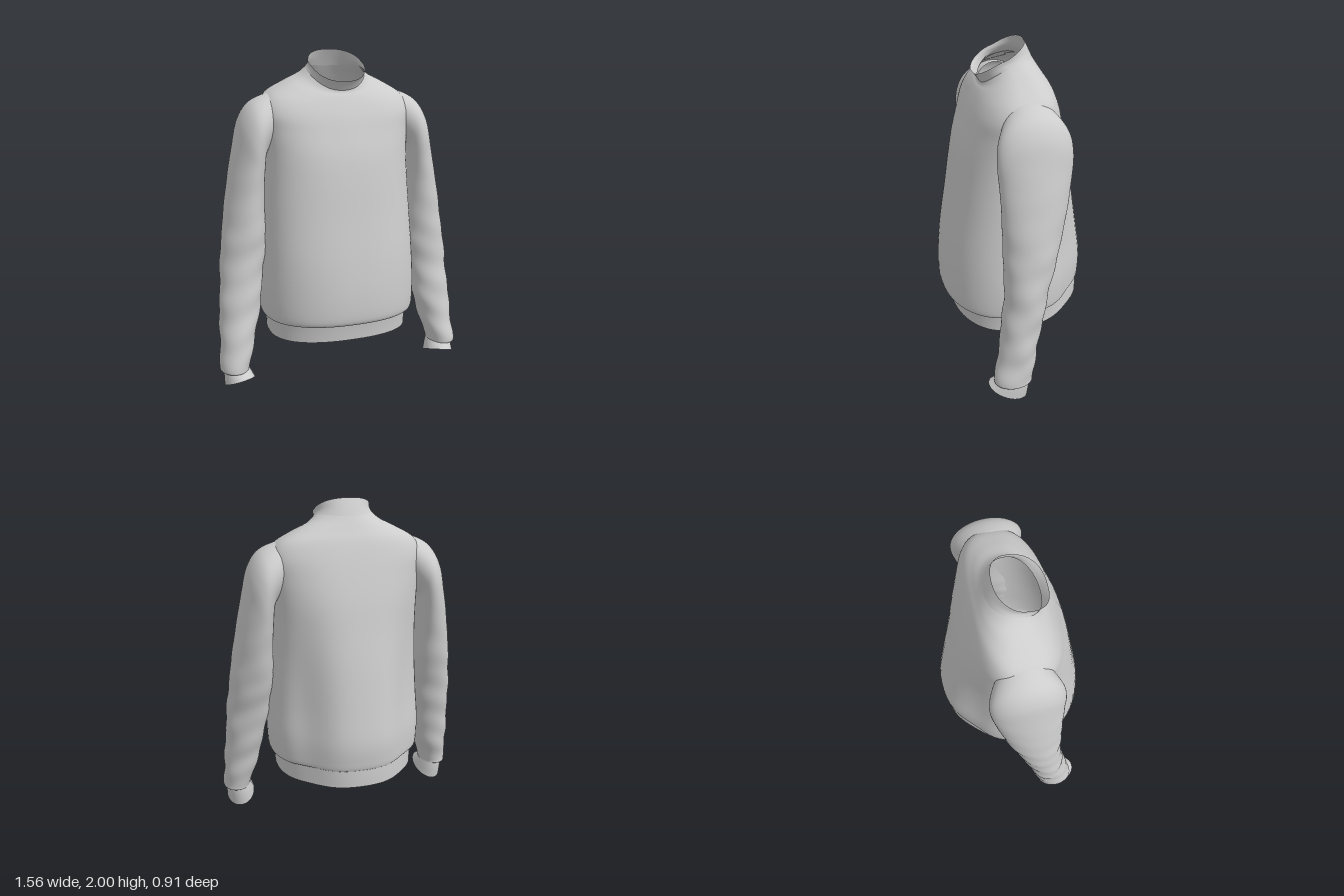
import * as THREE from 'three';

const SEG = 72;
const cloth = new THREE.MeshStandardMaterial({ color: 0xcccccc, side: THREE.DoubleSide });
cloth.name = 'light grey cloth';

// Smoothly interpolates rows of numbers, giving `steps` rows per span
function smoothRows(rows, steps) {
  const out = [];
  const row = i => rows[Math.max(0, Math.min(rows.length - 1, i))];
  for (let i = 0; i < rows.length - 1; i++) {
    for (let k = 0; k < steps; k++) {
      const t = k / steps;
      out.push(row(i).map((b, n) => {
        const a = row(i - 1)[n], c = row(i + 1)[n], d = row(i + 2)[n];
        return b + 0.5 * t * (c - a + t * (2 * a - 5 * b + 4 * c - d + t * (3 * (b - c) + d - a)));
      }));
    }
  }
  out.push(rows[rows.length - 1]);
  return out;
}

// Skins closed rings; pointAt(row, angle) gives [x, y, z]
function loft(name, rows, pointAt, flip) {
  const pos = [], index = [];
  rows.forEach((r, j) => {
    for (let i = 0; i < SEG; i++) {
      pos.push(...pointAt(r, (i / SEG) * Math.PI * 2));
      if (j === rows.length - 1) continue;
      const a = j * SEG + i, b = j * SEG + (i + 1) % SEG, c = a + SEG, d = b + SEG;
      if (flip) index.push(a, b, c, b, d, c);
      else index.push(a, c, b, b, c, d);
    }
  });
  const g = new THREE.BufferGeometry();
  g.setAttribute('position', new THREE.Float32BufferAttribute(pos, 3));
  g.setIndex(index);
  g.computeVertexNormals();
  const mesh = new THREE.Mesh(g, cloth);
  mesh.name = name;
  return mesh;
}

const power = (v, e) => Math.sign(v) * Math.abs(v) ** e;
const bump = (v, centre, width) => Math.exp(-(((v - centre) / width) ** 2));

// Torso row: y front, y side, y back, half width, z front, z back, z middle, front and back roundness
function torsoPoint([yf, ys, yb, w, zf, zb, zm, pf, pb], angle) {
  const c = Math.cos(angle), s = Math.sin(angle);
  const e = 2 / (s > 0 ? pf : pb);
  const x = w * power(c, e);
  let z = zm + (s > 0 ? zf - zm : zm - zb) * power(s, e);
  const mid = (yf + yb) / 2;
  const y = mid + (yf - yb) / 2 * s + (ys - mid) * c * c;
  // The back is drawn in beside a broad hanging fold; soft crease below the collar in front
  if (s < 0) z += -s * 0.075 * bump(y, 0.72, 0.5) * bump(Math.abs(x), 0.33, 0.11);
  else z += 0.006 * bump(y, 1.55, 0.14) * bump(x, 0, 0.04);
  return [x, y, z];
}

const hem = [
  [0.30, 0.290, 0.32, 0.440, 0.390, -0.440, 0.06, 2.3, 2.1],
  [0.36, 0.360, 0.38, 0.443, 0.396, -0.440, 0.06, 2.3, 2.1],
  [0.42, 0.420, 0.44, 0.448, 0.405, -0.438, 0.06, 2.3, 2.1],
];
const body = [
  [0.42, 0.42, 0.44, 0.448, 0.405, -0.438, 0.06, 2.3, 2.1],
  [0.41, 0.41, 0.43, 0.470, 0.432, -0.440, 0.06, 2.3, 2.1],
  [0.45, 0.45, 0.47, 0.482, 0.453, -0.448, 0.06, 2.3, 2.1],
  [0.60, 0.60, 0.60, 0.485, 0.452, -0.453, 0.06, 2.3, 2.1],
  [0.80, 0.80, 0.80, 0.472, 0.430, -0.425, 0.06, 2.4, 2.1],
  [1.05, 1.05, 1.05, 0.458, 0.390, -0.385, 0.05, 2.4, 2.1],
  [1.25, 1.25, 1.25, 0.450, 0.360, -0.345, 0.03, 2.4, 2.2],
  [1.40, 1.42, 1.42, 0.448, 0.330, -0.310, 0.01, 2.5, 2.4],
  [1.53, 1.55, 1.56, 0.455, 0.288, -0.273, 0, 2.7, 2.6],
  [1.62, 1.66, 1.68, 0.460, 0.257, -0.236, 0, 2.8, 2.8],
  [1.69, 1.745, 1.77, 0.420, 0.225, -0.202, 0, 2.7, 2.7],
  [1.735, 1.810, 1.83, 0.310, 0.200, -0.168, 0.01, 2.5, 2.4],
  [1.755, 1.852, 1.87, 0.220, 0.185, -0.145, 0.02, 2.3, 2.2],
  [1.77, 1.885, 1.90, 0.178, 0.180, -0.128, 0.03, 2.3, 2.1],
];
const collar = [
  [1.77, 1.885, 1.90, 0.178, 0.180, -0.128, 0.03, 2.3, 2.1],
  [1.80, 1.900, 1.95, 0.166, 0.200, -0.105, 0.05, 2.4, 2.2],
  [1.825, 1.922, 2.00, 0.166, 0.220, -0.080, 0.06, 2.5, 2.3],
];

// Sleeve row: outer x, y, inner x, y, z front, z back, forward tilt, wrinkle depth
const sleeve = [
  [0.330, 1.765, 0.380, 1.48, 0.115, -0.125, 0, 0],
  [0.420, 1.750, 0.415, 1.43, 0.165, -0.180, 0, 0],
  [0.520, 1.700, 0.440, 1.38, 0.203, -0.215, 0, 0],
  [0.585, 1.600, 0.445, 1.30, 0.212, -0.220, 0, 0],
  [0.622, 1.450, 0.450, 1.20, 0.205, -0.205, 0, 0.003],
  [0.660, 1.270, 0.450, 1.10, 0.200, -0.180, 0, 0.004],
  [0.693, 1.080, 0.450, 0.95, 0.200, -0.147, 0, 0.007],
  [0.722, 0.880, 0.460, 0.82, 0.197, -0.102, 0, 0.015],
  [0.745, 0.650, 0.490, 0.62, 0.205, -0.045, 0, 0.02],
  [0.760, 0.420, 0.525, 0.42, 0.235, 0.000, 0, 0.025],
  [0.770, 0.250, 0.570, 0.25, 0.265, 0.035, 0, 0.025],
  [0.777, 0.155, 0.600, 0.15, 0.285, 0.055, 0, 0.01],
  [0.774, 0.125, 0.605, 0.13, 0.282, 0.058, 0, 0],
  [0.750, 0.135, 0.612, 0.14, 0.262, 0.075, 0, 0],
];
const cuff = [
  [0.752, 0.140, 0.608, 0.14, 0.265, 0.072, 0, 0],
  [0.755, 0.090, 0.593, 0.11, 0.288, 0.072, 0.02, 0],
  [0.755, 0.035, 0.575, 0.07, 0.315, 0.080, 0.047, 0],
];

function sleevePoint(side) {
  return ([ox, oy, ix, iy, zf, zb, tilt, depth], angle) => {
    const c = Math.cos(angle), s = Math.sin(angle);
    const y = (oy + iy) / 2 + (oy - iy) / 2 * c + tilt * s;
    const k = 1 + depth * (Math.sin(y * 34 + 2.5 * Math.cos(angle - 0.8)) + Math.sin(y * 19 - 3 * s + side));
    return [
      side * ((ox + ix) / 2 + (ox - ix) / 2 * c * k),
      y,
      (zf + zb) / 2 + (zf - zb) / 2 * s * k,
    ];
  };
}

export function createModel() {
  const model = new THREE.Group();
  model.name = 'sweater';
  model.add(
    loft('hemBand', smoothRows(hem, 3), torsoPoint, false),
    loft('body', smoothRows(body, 6), torsoPoint, false),
    loft('collar', smoothRows(collar, 4), torsoPoint, false),
  );
  for (const [label, side] of [['left', 1], ['right', -1]]) {
    const arm = new THREE.Group();
    arm.name = label + 'Arm';
    arm.add(
      loft(label + 'Sleeve', smoothRows(sleeve, 8), sleevePoint(side), side > 0),
      loft(label + 'Cuff', smoothRows(cuff, 4), sleevePoint(side), side > 0),
    );
    model.add(arm);
  }
  return model;
}
